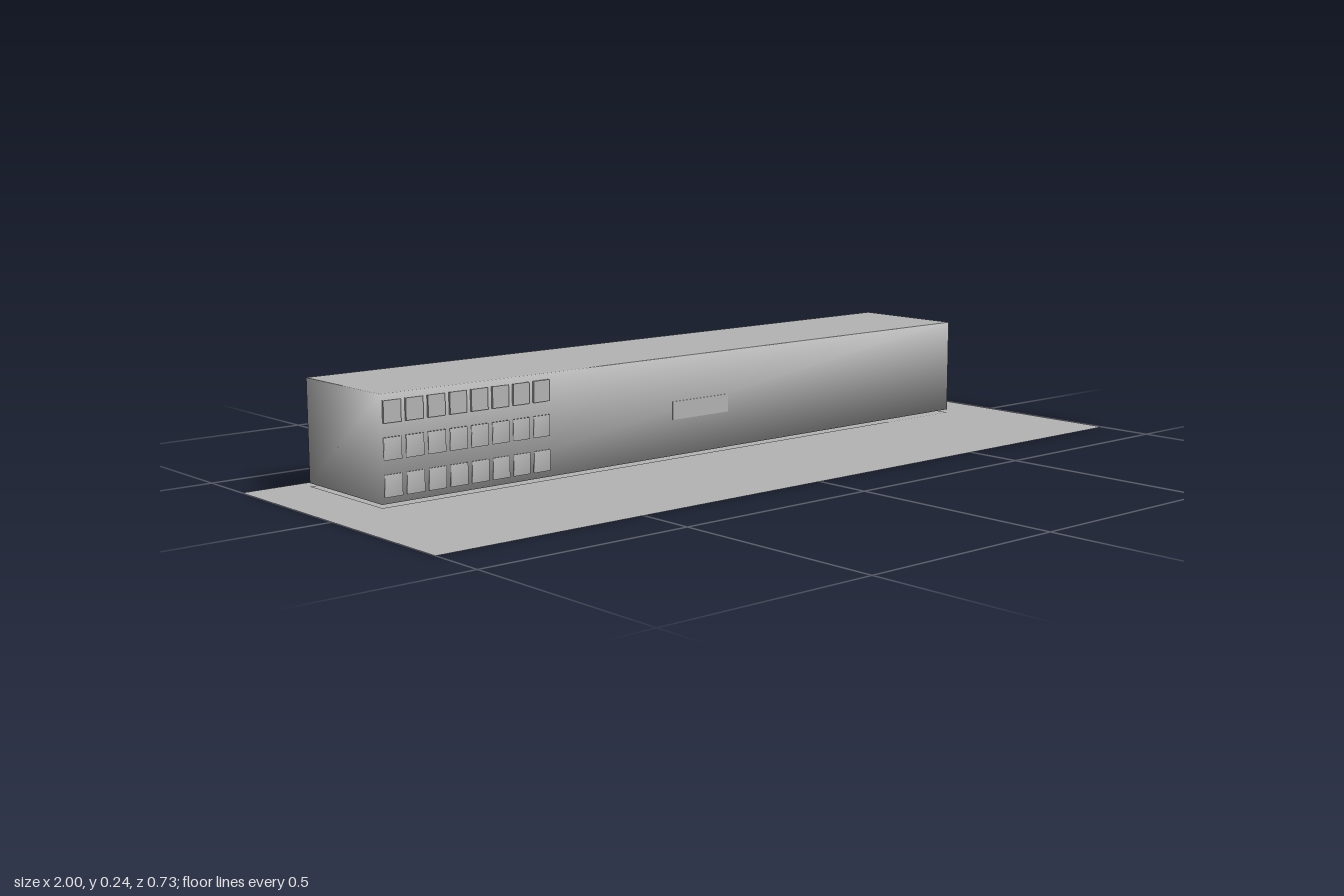
import * as THREE from 'three';
import { mergeVertices } from 'three/addons/utils/BufferGeometryUtils.js';

const grey = new THREE.MeshStandardMaterial({ color: 0xb4b4b4 });
grey.name = 'grey';
const sheetGrey = grey;
sheetGrey.side = THREE.DoubleSide;

// Box whose corners share one averaged normal, for softly shaded walls
function softBox(w, h, d) {
  const g = new THREE.BoxGeometry(w, h, d);
  g.deleteAttribute('normal');
  g.deleteAttribute('uv');
  const merged = mergeVertices(g);
  merged.computeVertexNormals();
  return merged;
}

export function createModel() {
  const model = new THREE.Group();
  const add = (name, geometry, x, y, z, parent = model) => {
    const mesh = new THREE.Mesh(geometry, grey);
    mesh.name = name;
    mesh.position.set(x, y, z);
    parent.add(mesh);
    return mesh;
  };
  const sheet = (w, d) => new THREE.PlaneGeometry(w, d).rotateX(-Math.PI / 2);

  // Ground sheet and the footprint under the building
  add('ground', sheet(2, 0.732), 0, 0, 0);
  add('footprint', sheet(1.725, 0.288), -0.002, 0.002, -0.173);
  add('underfloorSlab', new THREE.BoxGeometry(1.6, 0.004, 0.096), -0.002, 0.006, -0.172);

  // Long building block with a flat roof sheet
  add('walls', softBox(1.725, 0.229, 0.288), -0.002, 0.1245, -0.173);
  add('roof', sheet(1.725, 0.288), -0.002, 0.2396, -0.173);

  // Three rows of eight windows at the right end of the front
  const windows = new THREE.Group();
  windows.name = 'windows';
  model.add(windows);
  const crisp = new THREE.BoxGeometry(0.042, 0.047, 0.005);
  const soft = softBox(0.042, 0.047, 0.005);
  [0.048, 0.125, 0.202].forEach((y, row) => {
    for (let i = 0; i < 8; i++) {
      add('window', row === 2 ? crisp : soft, -0.838 + i * 0.054, y, -0.0265, windows);
    }
  });

  // Plain panel at the middle of the front
  add('frontPanel', new THREE.BoxGeometry(0.17, 0.042, 0.002), 0, 0.115, -0.0285);
  return model;
}
